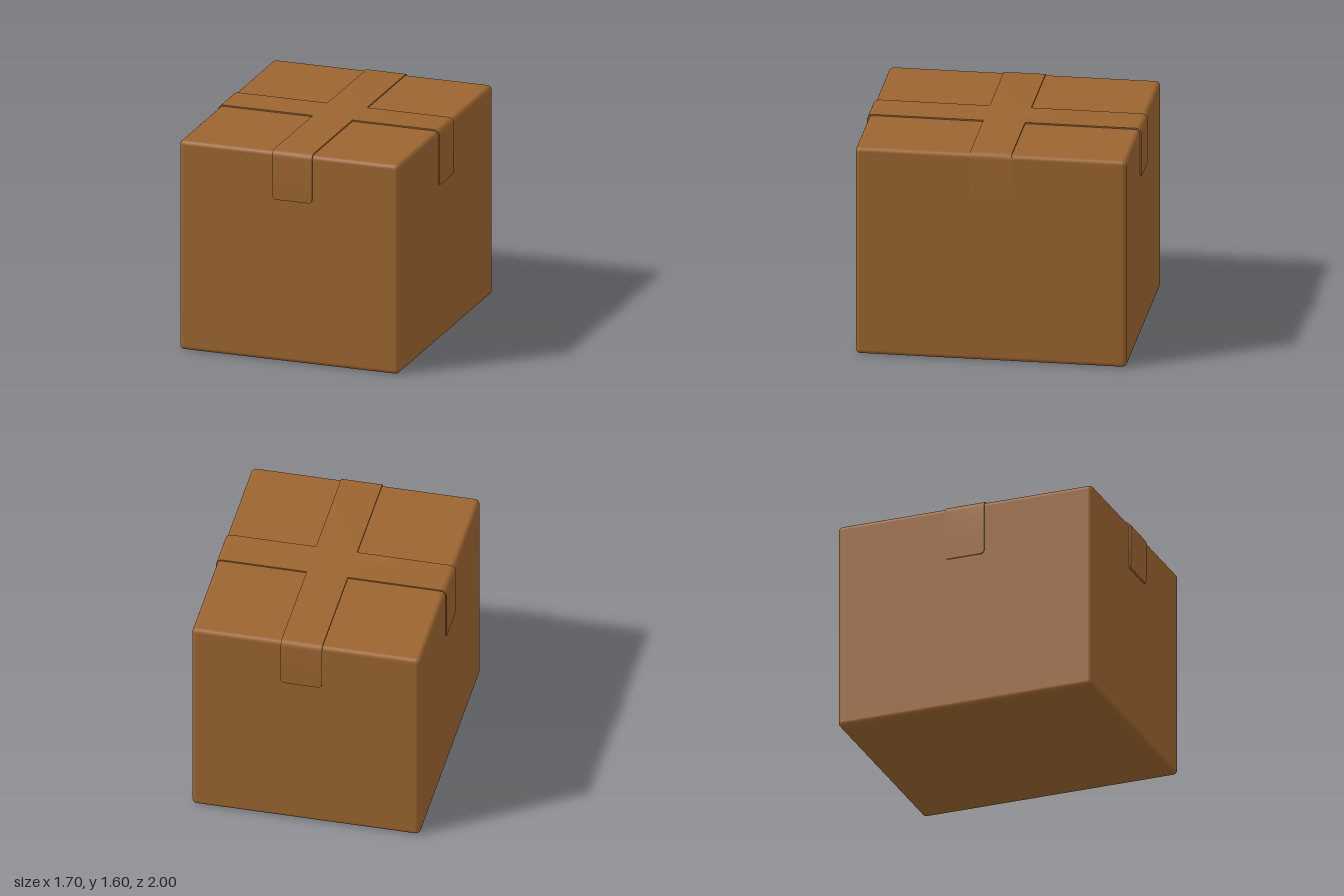
import * as THREE from 'three';
import { RoundedBoxGeometry } from 'three/addons/geometries/RoundedBoxGeometry.js';
import { toCreasedNormals } from 'three/addons/utils/BufferGeometryUtils.js';

const TOP = 1.6, THICK = 0.025, BEND = 0.045;

// Tape strip running along x over the top, folded down both sides, with rounded ends
function tapeGeometry(halfLength, endY, halfWidth) {
  // One half of the path: position, outward normal, half width
  const half = [];
  const r = 0.03;
  for (let i = 0; i <= 5; i++) {
    const a = (i / 5) * Math.PI / 2;
    half.push([halfLength, endY + r * (1 - Math.cos(a)), 1, 0, halfWidth - r + r * Math.sin(a)]);
  }
  for (let i = 0; i <= 8; i++) {
    const a = (i / 8) * Math.PI / 2, c = Math.cos(a), s = Math.sin(a);
    half.push([halfLength - BEND + BEND * c, TOP - BEND + BEND * s, c, s, halfWidth]);
  }
  const mirrored = half.map(([x, y, nx, ny, w]) => [-x, y, -nx, ny, w]).reverse();
  const path = [...half, ...mirrored];

  const positions = [], index = [];
  path.forEach(([x, y, nx, ny, w]) => {
    const ix = x - nx * THICK, iy = y - ny * THICK;
    positions.push(x, y, -w, x, y, w, ix, iy, w, ix, iy, -w);
  });
  for (let i = 0; i < path.length - 1; i++) {
    for (let k = 0; k < 4; k++) {
      const a = i * 4 + k, b = i * 4 + (k + 1) % 4;
      index.push(a, a + 4, b + 4, a, b + 4, b);
    }
  }
  const e = (path.length - 1) * 4;
  index.push(0, 1, 2, 0, 2, 3, e, e + 2, e + 1, e, e + 3, e + 2);

  const geometry = new THREE.BufferGeometry();
  geometry.setAttribute('position', new THREE.Float32BufferAttribute(positions, 3));
  geometry.setIndex(index);
  return toCreasedNormals(geometry, 0.6);
}

export function createModel() {
  const group = new THREE.Group();
  const cardboard = new THREE.MeshStandardMaterial({ color: 0x9b6430 });
  cardboard.name = 'cardboard brown';

  function add(name, geometry) {
    const mesh = new THREE.Mesh(geometry, cardboard);
    mesh.name = name;
    group.add(mesh);
    return mesh;
  }

  // Closed carton with softened edges
  add('carton', new RoundedBoxGeometry(1.684, 1.59, 1.974, 5, 0.035)).position.y = 0.795;

  // Tape across the width
  add('crossTape', tapeGeometry(0.85, 1.18, 0.152));

  // Tape along the depth, slightly off centre
  const longTape = add('longTape', tapeGeometry(1.0, 1.23, 0.152));
  longTape.rotation.y = Math.PI / 2;
  longTape.position.x = 0.03;

  return group;
}
